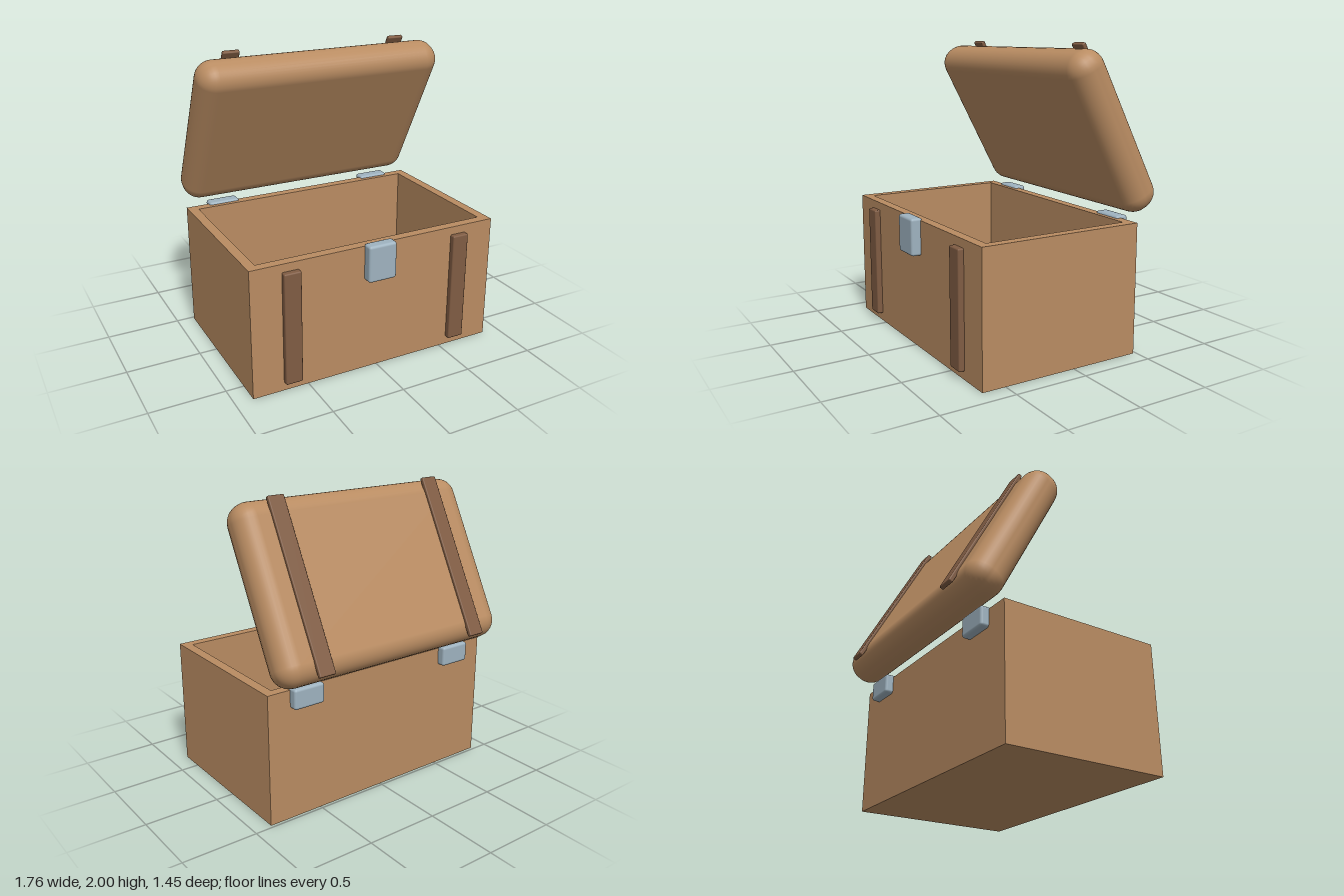
import * as THREE from 'three';
import { RoundedBoxGeometry } from 'three/addons/geometries/RoundedBoxGeometry.js';

export function createModel() {
  const leather = new THREE.MeshStandardMaterial({ color: 0xb98c62 });
  leather.name = 'tan leather';
  const strapBrown = new THREE.MeshStandardMaterial({ color: 0x805c43 });
  strapBrown.name = 'strap brown';
  const metal = new THREE.MeshStandardMaterial({ color: 0x9fb3c0 });
  metal.name = 'pale steel';

  const model = new THREE.Group();
  model.name = 'openTrunk';

  const add = (parent, name, geometry, material, x, y, z) => {
    const mesh = new THREE.Mesh(geometry, material);
    mesh.name = name;
    mesh.position.set(x, y, z);
    parent.add(mesh);
    return mesh;
  };
  const rounded = (w, h, d, r, segments = 2) => new RoundedBoxGeometry(w, h, d, segments, r);

  // Open body: a rectangular ring of walls, extruded upward
  const W = 1.76, D = 1.14, H = 0.875, wall = 0.065, floorThickness = 0.06;
  const bodyZ = 0.09;
  const rectangle = (target, w, d) => {
    target.moveTo(-w / 2, -d / 2);
    target.lineTo(w / 2, -d / 2);
    target.lineTo(w / 2, d / 2);
    target.lineTo(-w / 2, d / 2);
    target.closePath();
    return target;
  };
  const innerW = W - 2 * wall, innerD = D - 2 * wall;
  const outline = rectangle(new THREE.Shape(), W, D);
  outline.holes.push(rectangle(new THREE.Path(), innerW, innerD));
  const walls = new THREE.ExtrudeGeometry(outline, { depth: H, bevelEnabled: false });
  walls.rotateX(-Math.PI / 2);
  add(model, 'bodyWalls', walls, leather, 0, 0, bodyZ);
  add(model, 'bodyFloor', new THREE.BoxGeometry(innerW, floorThickness, innerD), leather,
    0, floorThickness / 2, bodyZ);

  // Front latch
  add(model, 'latch', rounded(0.2, 0.25, 0.08, 0.018), metal, 0, 0.765, 0.685);

  // Lid, tipped back on its hinges
  const lid = new THREE.Group();
  lid.name = 'lid';
  lid.position.set(0, 1.442, -0.335);
  lid.rotation.x = THREE.MathUtils.degToRad(-62);
  model.add(lid);
  add(lid, 'lidShell', rounded(W, 0.26, D, 0.12, 4), leather, 0, 0, 0);

  // Mirrored straps and hinges
  for (const [side, label] of [[1, 'left'], [-1, 'right']]) {
    add(model, label + 'FrontStrap', rounded(0.116, 0.765, 0.06, 0.01), strapBrown,
      side * 0.611, 0.4375, 0.668);
    add(model, label + 'Hinge', rounded(0.22, 0.135, 0.09, 0.018), metal,
      side * 0.61, 0.8225, -0.49);
    add(lid, label + 'LidStrap', rounded(0.116, 0.03, 1.112, 0.008), strapBrown,
      side * 0.611, 0.133, 0);
  }

  return model;
}
